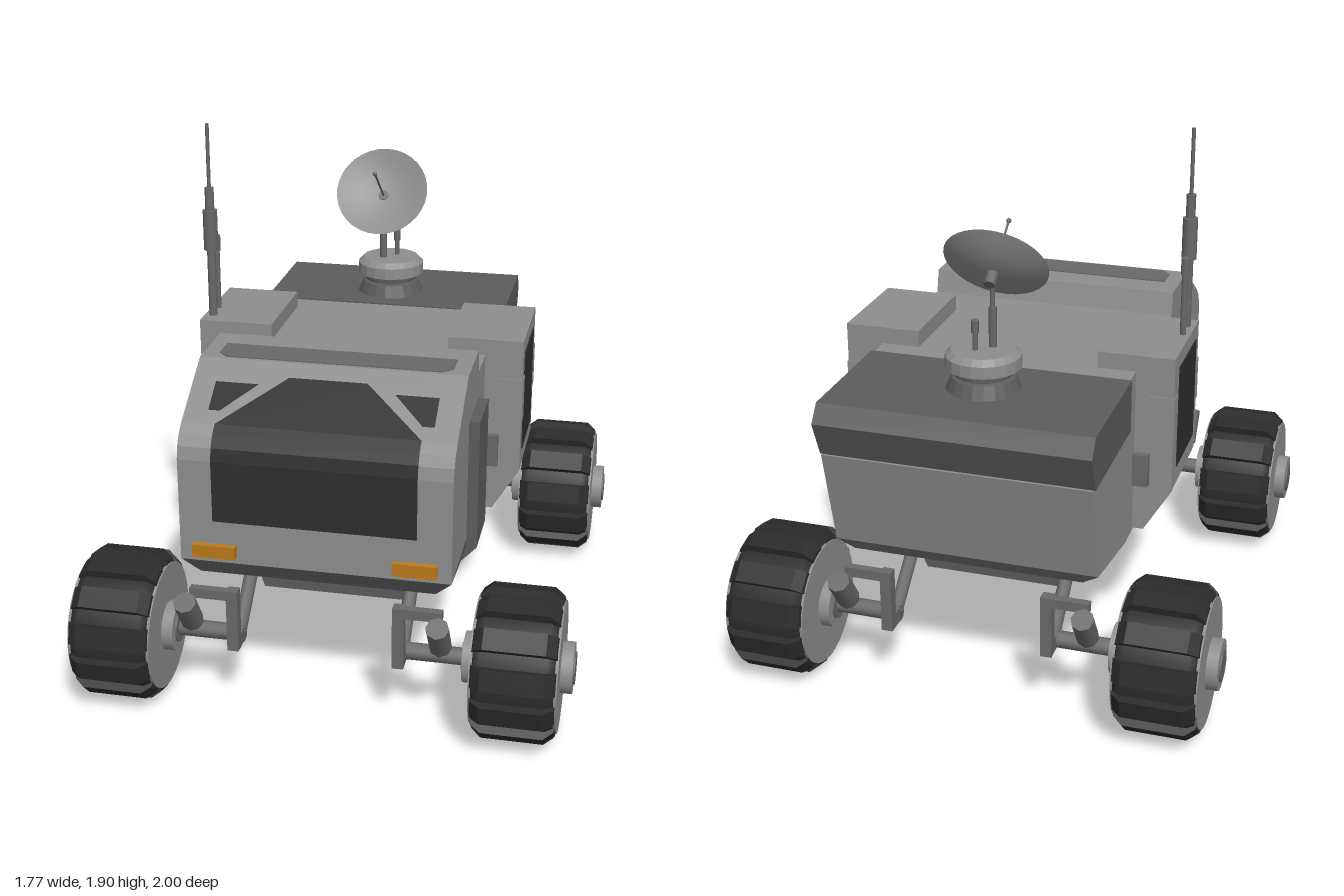
import * as THREE from 'three';

const mat = (name, color, side = THREE.FrontSide) =>
  Object.assign(new THREE.MeshStandardMaterial({ color, side }), { name });

export function createModel() {
  const hull = mat('hull grey', 0x8e8e8e, THREE.DoubleSide);
  const dark = mat('dark grey', 0x5c5c5c);
  const metal = mat('metal grey', 0x696969);
  const glass = mat('glass black', 0x2e2e2e, THREE.DoubleSide);
  const rubber = mat('rubber black', 0x2b2b2b);
  const amber = mat('amber', 0xbb7a1c);

  const model = new THREE.Group();
  model.name = 'rover';

  const add = (name, geo, material, parent = model) => {
    const m = new THREE.Mesh(geo, material);
    m.name = name;
    parent.add(m);
    return m;
  };
  const box = (name, x0, x1, y0, y1, z0, z1, material) =>
    add(name, new THREE.BoxGeometry(Math.abs(x1 - x0), y1 - y0, Math.abs(z1 - z0))
      .translate((x0 + x1) / 2, (y0 + y1) / 2, (z0 + z1) / 2), material);
  const extrude = (pts, depth) => new THREE.ExtrudeGeometry(
    new THREE.Shape(pts.map(p => new THREE.Vector2(...p))), { depth, bevelEnabled: false })
    .translate(0, 0, -depth / 2);
  // Side profile of [z, y] points, spread evenly across x
  const prism = (pts, width) => extrude(pts, width).rotateY(-Math.PI / 2);
  const rod = (name, a, b, r, material, sides = 12, parent = model) => {
    const A = new THREE.Vector3(...a), B = new THREE.Vector3(...b);
    const m = add(name, new THREE.CylinderGeometry(r, r, A.distanceTo(B), sides), material, parent);
    m.position.copy(A).lerp(B, 0.5);
    m.quaternion.setFromUnitVectors(new THREE.Vector3(0, 1, 0), B.sub(A).normalize());
    return m;
  };

  // Main hull: side profile with a rounded, sloping nose
  const nose = [[0.805, 0.57], [0.805, 0.94], [0.795, 0.985], [0.775, 1.02], [0.74, 1.05], [0.51, 1.2]];
  const lip = [[-0.81, 0.57], [-0.43, 0.5], [0.1, 0.5], [0.24, 0.57]];
  add('hull', prism([...nose, [0.26, 1.2], [0.24, 1.115], [-0.43, 1.115], [-0.43, 0.93],
    [-0.9, 0.93], ...lip], 0.935), hull);

  // Belly: narrows from the hull edge to its underside
  const under = [[0.77, 0.51], [0.25, 0.51], [0.1, 0.44], [-0.43, 0.44], [-0.79, 0.53]];
  const belly = prism([...under, ...lip, nose[0]], 0.935);
  const bp = belly.attributes.position;
  for (let i = 0; i < bp.count; i++) {
    if (under.some(([z, y]) => Math.hypot(bp.getZ(i) - z, bp.getY(i) - y) < 1e-4)) {
      bp.setX(i, Math.sign(bp.getX(i)) * 0.41);
    }
  }
  belly.computeVertexNormals();
  add('belly', belly, dark);
  add('chassis', prism([[0.5, 0.5], [0.5, 0.36], [0.46, 0.3], [-0.46, 0.3], [-0.5, 0.36], [-0.5, 0.5]], 0.54), hull);

  // Dark rear deck
  add('rearDeck', prism([[-0.42, 0.93], [-0.42, 1.12], [-0.9, 1.12], [-0.945, 1.06], [-0.89, 0.93]], 0.95), dark);

  // Roof panel
  add('roofPanel', extrude([[-0.41, 0.37], [0.41, 0.37], [0.41, 0.46], [0.375, 0.495], [-0.375, 0.495],
    [-0.41, 0.46]], 0.006).rotateX(Math.PI / 2).scale(1, 1, 1).translate(0, 1.201, 0), metal);

  // Windows follow the nose; each row is [y, xLeft, xRight]
  const noseZ = y => {
    for (let i = 1; i < nose.length; i++) {
      const [z0, y0] = nose[i - 1], [z1, y1] = nose[i];
      if (y <= y1) return z0 + (z1 - z0) * (y - y0) / (y1 - y0);
    }
    return nose[nose.length - 1][0];
  };
  const nosePlate = (name, rows) => {
    const pos = [], idx = [];
    rows.forEach(([y, a, b], i) => {
      const z = noseZ(y) + 0.005;
      pos.push(a, y + 0.004, z, b, y + 0.004, z);
      if (i) idx.push(2 * i - 2, 2 * i - 1, 2 * i + 1, 2 * i - 2, 2 * i + 1, 2 * i);
    });
    const g = new THREE.BufferGeometry();
    g.setAttribute('position', new THREE.Float32BufferAttribute(pos, 3));
    g.setIndex(idx);
    const flat = g.toNonIndexed();
    flat.computeVertexNormals();
    add(name, flat, glass);
  };
  nosePlate('windshield', [...[0.72, 0.94, 0.985, 1.02, 1.05].map(y => [y, -0.35, 0.35]), [1.165, -0.135, 0.135]]);

  // Wheel, centred on its own axle along x
  const buildWheel = () => {
    const w = new THREE.Group();
    w.name = 'wheel';
    const tyre = [[0.2, -0.14], [0.222, -0.14], [0.238, -0.11], [0.238, 0.11], [0.222, 0.14], [0.2, 0.14]];
    add('tyre', new THREE.LatheGeometry(tyre.map(p => new THREE.Vector2(...p)), 36).rotateZ(-Math.PI / 2), rubber, w);
    const lug = extrude([[-0.143, 0.215], [0.143, 0.215], [0.138, 0.235], [0.105, 0.262], [-0.105, 0.262],
      [-0.138, 0.235]], 0.075);
    for (let i = 0; i < 12; i++) add('tread', lug, rubber, w).rotation.x = (i + 0.5) * Math.PI / 6;
    rod('rim', [-0.146, 0, 0], [0.146, 0, 0], 0.224, hull, 36, w);
    rod('hub', [-0.186, 0, 0], [0.186, 0, 0], 0.088, hull, 24, w);
    rod('hubCap', [-0.192, 0, 0], [0.192, 0, 0], 0.056, metal, 20, w);
    return w;
  };

  for (const s of [1, -1]) {
    nosePlate('cornerWindow', [[1.08, s * 0.345, s * 0.385], [1.145, s * 0.235, s * 0.385]]);
    box('headlight', s * 0.27, s * 0.42, 0.595, 0.64, 0.79, 0.83, amber);

    // Side cabinet with door window and sloping lower window
    add('sideCabinet', extrude([[0.33, 0.51], [0.33, 1.175], [0.605, 1.175], [0.605, 0.67], [0.508, 0.51]]
      .map(([x, y]) => [s * x, y]), 0.4).translate(0, 0, -0.13), hull);
    box('doorWindow', s * 0.602, s * 0.609, 0.74, 1.12, -0.26, 0.02, glass);
    const low = add('lowerWindow', new THREE.BoxGeometry(0.008, 0.135, 0.28), glass);
    low.position.set(s * 0.554, 0.583, -0.12);
    low.rotation.z = -s * 0.545;
    for (const [z0, z1] of [[0.02, 0.075], [-0.335, -0.28]]) {
      box('cabinetCorner', s * 0.515, s * 0.608, 0.87, 1.03, z0, z1, hull);
    }
    for (const z of [0.08, -0.34]) box('hinge', s * 0.46, s * 0.525, 0.69, 0.81, z - 0.015, z + 0.015, metal);

    // Dark side locker, tapering in at its foot
    add('sideLocker', extrude([[0.42, 0.46], [0.42, 1.015], [0.505, 1.015], [0.505, 0.54], [0.43, 0.46]]
      .map(([x, y]) => [s * x, y]), 0.225).translate(0, 0, 0.352), dark);

    // Rocker rail under the hull
    const rail = [[0.735, 0.26], [0.53, 0.435], [-0.53, 0.435], [-0.735, 0.26]];
    for (let i = 1; i < 4; i++) {
      const [[z0, y0], [z1, y1]] = [rail[i - 1], rail[i]];
      rod('rockerRail', [s * 0.29, y0, z0], [s * 0.29, y1, z1], 0.025, metal, 8);
    }

    // Wheels, axles and shock absorbers, front and back
    for (const d of [1, -1]) {
      const w = buildWheel();
      w.position.set(s * 0.695, 0.262, d * 0.735);
      model.add(w);
      rod('axle', [s * 0.27, 0.26, d * 0.735], [s * 0.56, 0.26, d * 0.735], 0.03, metal);
      box('armUpright', s * 0.27, s * 0.31, 0.24, 0.465, d * 0.78, d * 0.82, metal);
      box('armTop', s * 0.27, s * 0.44, 0.43, 0.465, d * 0.79, d * 0.82, metal);
      box('armFoot', s * 0.27, s * 0.31, 0.235, 0.285, d * 0.71, d * 0.82, metal);
      rod('shockAbsorber', [s * 0.435, 0.333, d * 0.808], [s * 0.435, 0.447, d * 0.888], 0.04, metal, 8);
    }
  }

  // Dish turret
  const lathe = (name, pts, material, x, z) => {
    const m = add(name, new THREE.LatheGeometry(pts.map(p => new THREE.Vector2(...p)), 20).toNonIndexed(), material);
    m.geometry.computeVertexNormals();
    m.position.set(x, 0, z);
  };
  lathe('turretBase', [[0.132, 1.115], [0.11, 1.165], [0.1, 1.17], [0.1, 1.2]], dark, -0.01, -0.612);
  lathe('turretTop', [[0, 1.198], [0.13, 1.198], [0.13, 1.24], [0.11, 1.26], [0, 1.26]], hull, -0.01, -0.612);
  rod('dishMast', [-0.037, 1.25, -0.592], [-0.037, 1.4, -0.592], 0.014, metal);
  rod('dishMastTop', [-0.037, 1.4, -0.592], [-0.037, 1.5, -0.592], 0.008, metal);
  rod('turretStub', [0.01, 1.25, -0.637], [0.01, 1.34, -0.637], 0.009, metal);
  rod('turretStubCap', [0.01, 1.32, -0.637], [0.01, 1.365, -0.637], 0.013, metal);

  // Dish tilted up and forward
  const dish = new THREE.Group();
  dish.name = 'dish';
  dish.position.set(-0.037, 1.54, -0.551);
  dish.rotation.x = 0.94;
  model.add(dish);
  const bowl = [0, 0.045, 0.09, 0.135, 0.18].map(r => new THREE.Vector2(r, -0.045 * (1 - (r / 0.18) ** 2)));
  add('bowl', new THREE.LatheGeometry(bowl, 32), hull, dish);
  rod('feed', [0, -0.045, 0], [0, 0.174, 0], 0.004, metal, 8, dish);
  add('feedTip', new THREE.SphereGeometry(0.009, 10, 8), metal, dish).position.y = 0.174;
  rod('dishMount', [0, -0.09, 0], [0, -0.04, 0], 0.02, metal, 12, dish);

  // Whip antennas on the right cabinet, each piece [radius, y0, y1]
  const whip = (name, x, z, parts) => parts.forEach(([r, a, b]) => rod(name, [x, a, z], [x, b, z], r, metal));
  whip('tallAntenna', -0.573, 0, [[0.016, 1.17, 1.44], [0.027, 1.43, 1.58], [0.017, 1.58, 1.665], [0.007, 1.66, 1.9]]);
  whip('shortAntenna', -0.578, -0.085, [[0.011, 1.17, 1.41], [0.015, 1.4, 1.46]]);

  return model;
}
